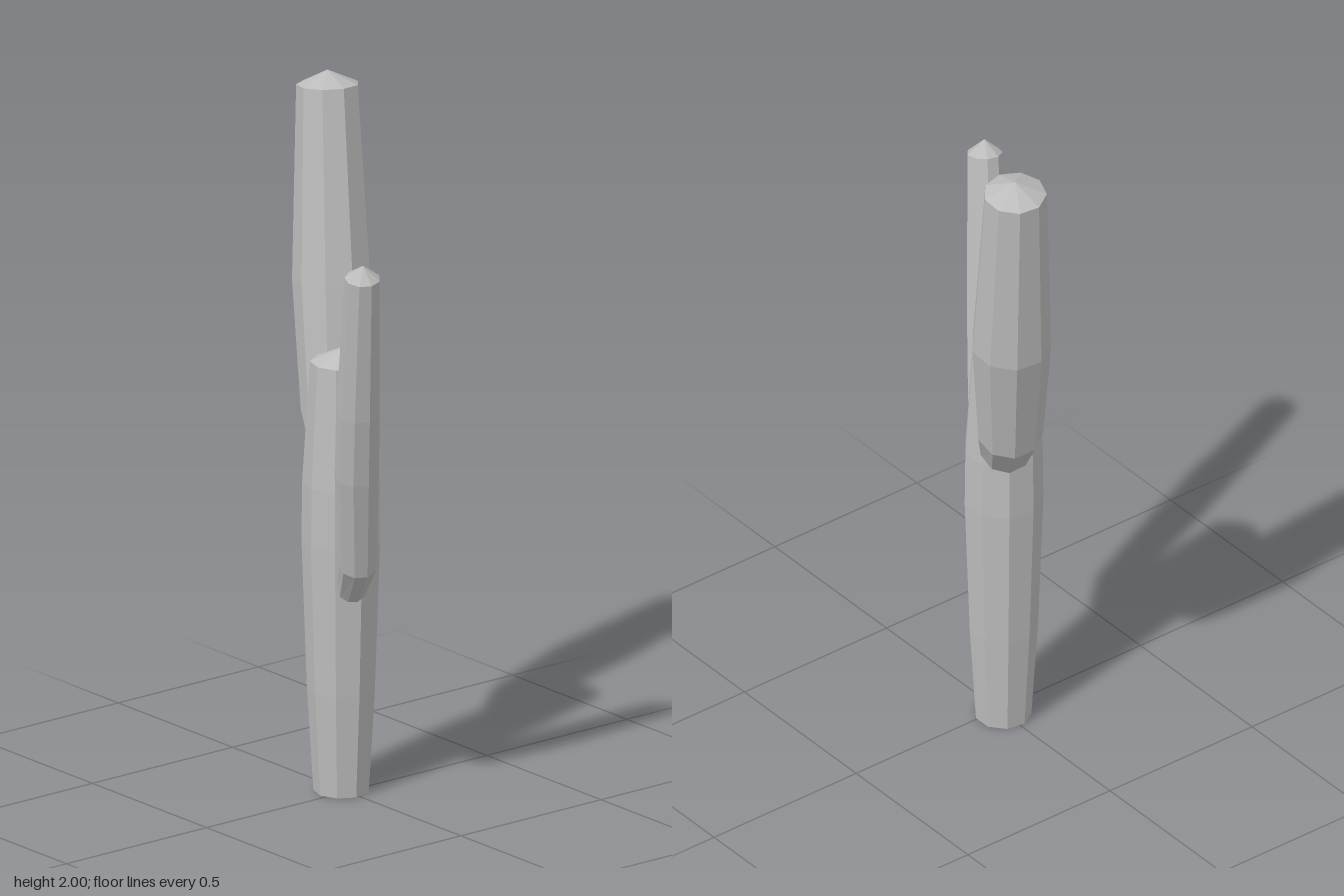
import * as THREE from 'three';

const SIDES = 9;
const UP = new THREE.Vector3(0, 1, 0);

// Faceted stem: each station is [x, y, z, radius]; a shallow cone closes the top.
function stem(name, stations, tipHeight, material) {
  const centres = stations.map(([x, y, z]) => new THREE.Vector3(x, y, z));
  const last = centres.length - 1;
  const positions = [];
  const indices = [];
  const tangent = new THREE.Vector3();

  // Rings, each tilted square to the direction of growth
  stations.forEach(([, , , radius], i) => {
    tangent.subVectors(centres[Math.min(i + 1, last)], centres[Math.max(i - 1, 0)]).normalize();
    const tilt = new THREE.Quaternion().setFromUnitVectors(UP, tangent);
    for (let k = 0; k < SIDES; k++) {
      const a = THREE.MathUtils.degToRad(19 + (k * 360) / SIDES);
      const p = new THREE.Vector3(Math.cos(a) * radius, 0, Math.sin(a) * radius);
      p.applyQuaternion(tilt).add(centres[i]);
      positions.push(p.x, p.y, p.z);
    }
  });

  // End points: foot and tip
  const foot = stations.length * SIDES;
  const tip = centres[last].clone().addScaledVector(tangent, tipHeight);
  positions.push(...centres[0].toArray(), ...tip.toArray());

  for (let k = 0; k < SIDES; k++) {
    const n = (k + 1) % SIDES;
    for (let i = 0; i < last; i++) {
      const a = i * SIDES + k, b = i * SIDES + n;
      indices.push(a, a + SIDES, b, b, a + SIDES, b + SIDES);
    }
    indices.push(foot, k, n);
    indices.push(foot + 1, last * SIDES + n, last * SIDES + k);
  }

  const indexed = new THREE.BufferGeometry();
  indexed.setAttribute('position', new THREE.Float32BufferAttribute(positions, 3));
  indexed.setIndex(indices);
  const geometry = indexed.toNonIndexed();
  geometry.computeVertexNormals();
  const mesh = new THREE.Mesh(geometry, material);
  mesh.name = name;
  return mesh;
}

export function createModel() {
  const group = new THREE.Group();
  group.name = 'cactus';
  const grey = new THREE.MeshStandardMaterial({ color: 0xbcbcbc, flatShading: true });
  grey.name = 'plainGrey';

  // Upright trunk, fullest just above the middle
  group.add(stem('trunk', [
    [0, 0, -0.021, 0.079],
    [0, 0.3, -0.021, 0.097],
    [0, 0.73, -0.021, 0.112],
    [0, 0.9, -0.021, 0.11],
    [0, 1.25, -0.022, 0.088],
  ], 0.04, grey));

  // Thin front arm
  group.add(stem('frontArm', [
    [-0.034, 0.61, 0.062, 0.04],
    [-0.075, 0.71, 0.142, 0.053],
    [-0.125, 1.0, 0.2, 0.063],
    [-0.153, 1.2, 0.24, 0.062],
    [-0.2, 1.62, 0.315, 0.05],
  ], 0.04, grey));

  // Thick, tall rear arm
  group.add(stem('rearArm', [
    [0.04, 0.945, -0.085, 0.073],
    [0.085, 1.06, -0.16, 0.092],
    [0.127, 1.41, -0.218, 0.112],
    [0.157, 1.96, -0.275, 0.088],
  ], 0.04, grey));

  return group;
}
